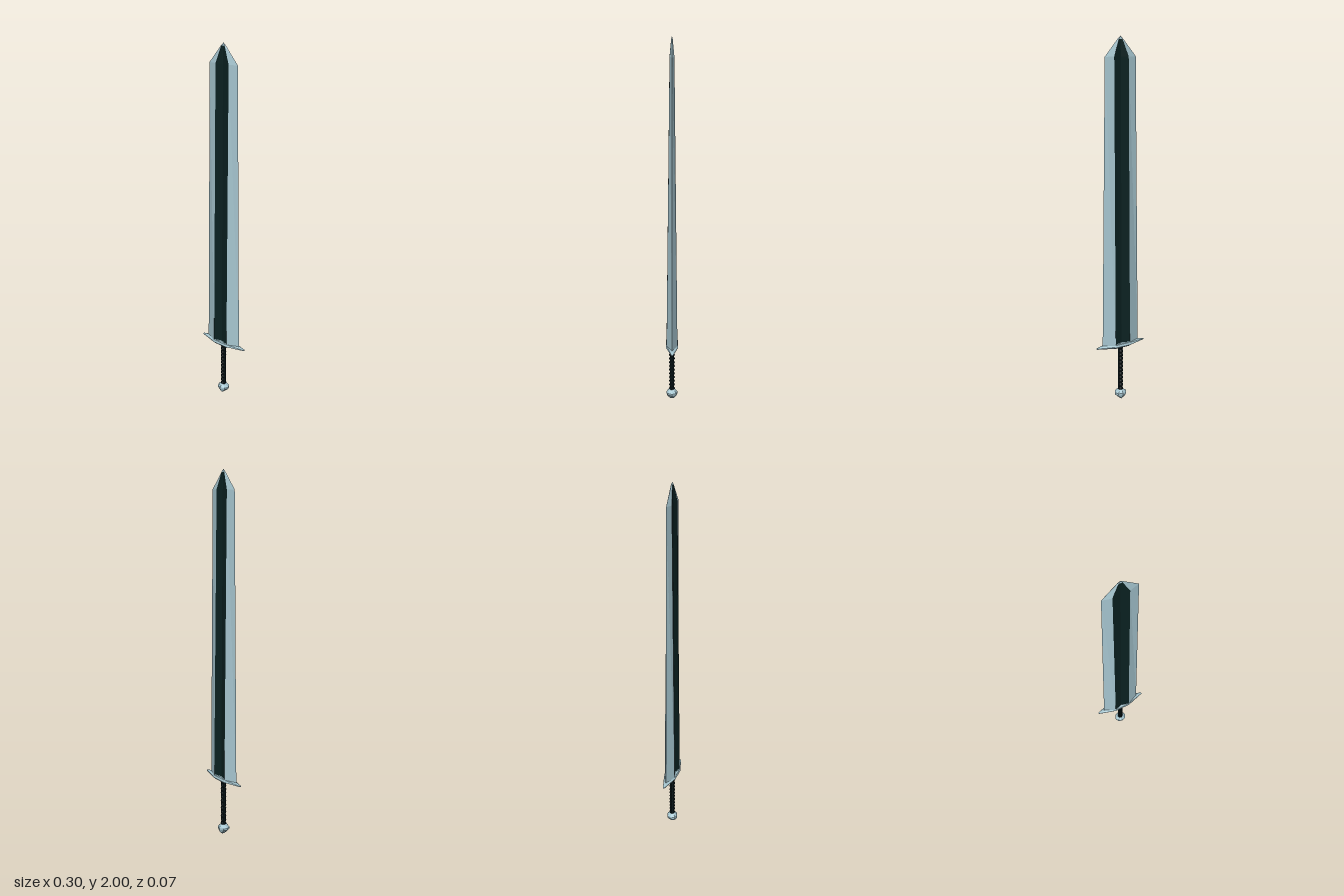
import * as THREE from 'three';

// Flat-shaded loft through closed rings [[x, y, z], ...] listed bottom to top.
// pick(level, side) chooses the material index of each strip.
function loft(name, rings, materials, pick = () => 0) {
  const buckets = materials.map(() => []);
  const n = rings[0].length;
  for (let k = 0; k < rings.length - 1; k++) {
    for (let i = 0; i < n; i++) {
      const j = (i + 1) % n;
      const a = rings[k][i], b = rings[k][j], c = rings[k + 1][i], d = rings[k + 1][j];
      buckets[pick(k, i)].push(...a, ...c, ...d, ...a, ...d, ...b);
    }
  }
  // end caps
  const low = rings[0], high = rings[rings.length - 1];
  for (let i = 0; i < n; i++) {
    const j = (i + 1) % n;
    buckets[0].push(0, low[0][1], 0, ...low[i], ...low[j]);
    buckets[0].push(0, high[0][1], 0, ...high[j], ...high[i]);
  }
  const geometry = new THREE.BufferGeometry();
  let start = 0;
  buckets.forEach((b, m) => {
    geometry.addGroup(start, b.length / 3, m);
    start += b.length / 3;
  });
  geometry.setAttribute('position', new THREE.Float32BufferAttribute(buckets.flat(), 3));
  geometry.computeVertexNormals();
  const mesh = new THREE.Mesh(geometry, materials);
  mesh.name = name;
  return mesh;
}

// Hollow-ground section: edge half-width w, ridge at (r, d), groove depth c
const bladeRing = (y, w, r, d, c) => [
  [w, y, 0], [r, y, d], [0, y, c], [-r, y, d],
  [-w, y, 0], [-r, y, -d], [0, y, -c], [r, y, -d],
];

// Long lozenge with a flat middle and blunt ends
const guardRing = (y, w, r, d, e) => [
  [w, y, -e], [w, y, e], [r, y, d], [-r, y, d],
  [-w, y, e], [-w, y, -e], [-r, y, -d], [r, y, -d],
];

// Eight-sided oval
const ovalRing = (y, rx, rz) => Array.from({ length: 8 }, (_, i) => {
  const a = (i * Math.PI) / 4;
  return [rx * Math.cos(a), y, rz * Math.sin(a)];
});

export function createModel() {
  const steel = new THREE.MeshStandardMaterial({ color: 0xa6c6d0 });
  steel.name = 'pale steel';
  const dark = new THREE.MeshStandardMaterial({ color: 0x0a2121 });
  dark.name = 'dark fuller';
  const grip = new THREE.MeshStandardMaterial({ color: 0x081618 });
  grip.name = 'black grip';

  const model = new THREE.Group();

  // Blade with a dark groove on both faces
  model.add(loft('blade', [
    bladeRing(0.34, 0.111, 0.045, 0.03, 0.016),
    bladeRing(0.352, 0.111, 0.045, 0.03, 0.016),
    bladeRing(1.9, 0.088, 0.041, 0.012, 0.005),
    bladeRing(1.985, 0.016, 0.01, 0.004, 0.002),
    bladeRing(2.0, 0.0005, 0.0003, 0.0003, 0.0002),
  ], [steel, dark], (k, i) => (k > 0 && k < 3 && [1, 2, 5, 6].includes(i) ? 1 : 0)));

  // Guard, thick in the middle and thin at its ends
  model.add(loft('guard', [
    guardRing(0.325, 0.06, 0.04, 0.026, 0.004),
    guardRing(0.334, 0.148, 0.045, 0.034, 0.004),
    guardRing(0.338, 0.148, 0.045, 0.034, 0.004),
    guardRing(0.347, 0.1, 0.042, 0.031, 0.004),
  ], [steel]));

  // Grip: straight sides, ribbed front and back
  const ribs = 12, y0 = 0.05, y1 = 0.328;
  const gripRings = [];
  for (let i = 0; i <= ribs * 2; i++) {
    const y = y0 + ((y1 - y0) * i) / (ribs * 2);
    gripRings.push(ovalRing(y, 0.0145, i % 2 ? 0.017 : 0.011));
  }
  model.add(loft('grip', gripRings, [grip]));

  // Faceted pommel
  model.add(loft('pommel', [
    ovalRing(0, 0.004, 0.012),
    ovalRing(0.014, 0.02, 0.026),
    ovalRing(0.03, 0.035, 0.031),
    ovalRing(0.04, 0.035, 0.031),
    ovalRing(0.051, 0.02, 0.024),
    ovalRing(0.06, 0.012, 0.012),
  ], [steel]));

  return model;
}
